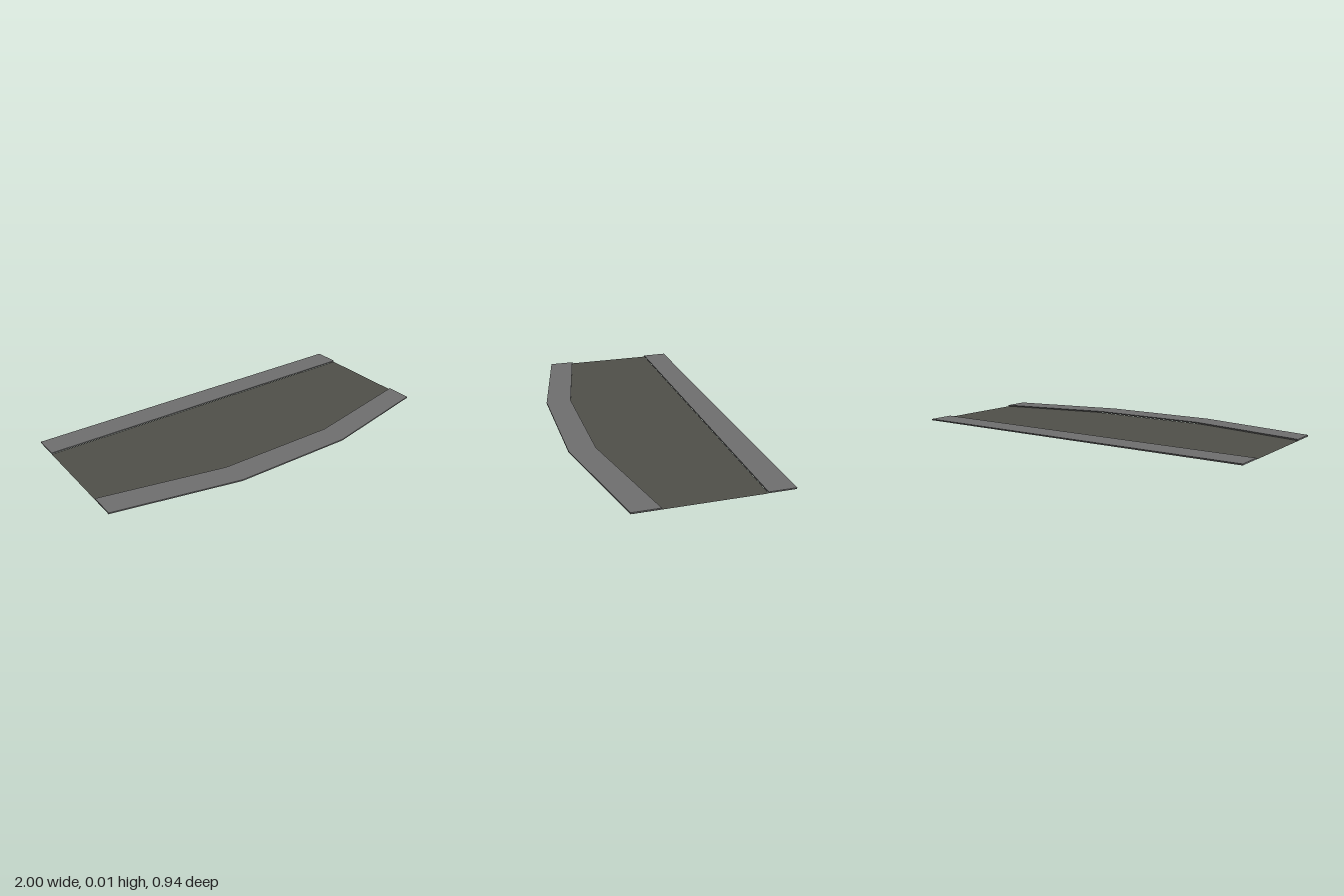
import * as THREE from 'three';

const HEIGHT = 0.008; // top of the kerbs
const GAP = 0.001;    // underside of the kerbs, just clear of the road

export function createModel() {
  const model = new THREE.Group();
  model.name = 'roadSection';

  const asphalt = new THREE.MeshStandardMaterial({ color: 0x50504a, side: THREE.DoubleSide });
  asphalt.name = 'asphalt';
  const concrete = new THREE.MeshStandardMaterial({ color: 0x707070 });
  concrete.name = 'concrete';

  // Flat slab of pavement from an outline of [x, z] points
  function addPavement(name, outline) {
    const shape = new THREE.Shape(outline.map(([x, z]) => new THREE.Vector2(x, -z)));
    const geometry = new THREE.ExtrudeGeometry(shape, { depth: HEIGHT - GAP, bevelEnabled: false });
    geometry.rotateX(-Math.PI / 2).translate(0, GAP, 0);
    const mesh = new THREE.Mesh(geometry, concrete);
    mesh.name = name;
    model.add(mesh);
  }

  // Road surface: one thin sheet, running under the bent front pavement
  const roadGeometry = new THREE.PlaneGeometry(2, 0.654);
  roadGeometry.rotateX(-Math.PI / 2);
  const road = new THREE.Mesh(roadGeometry, asphalt);
  road.name = 'roadSurface';
  model.add(road);

  // Straight pavement along the back
  addPavement('backPavement', [[-1, -0.327], [1, -0.327], [1, -0.47], [-1, -0.47]]);

  // Pavement along the front, bulging outward in three straight runs
  const width = 0.143;
  const outer = [[-1, 0.327], [-0.335, 0.47], [0.335, 0.47], [1, 0.327]];
  const inner = outer.map(([x, z]) => [x, z - width]).reverse();
  addPavement('frontPavement', [...outer, ...inner]);

  return model;
}
